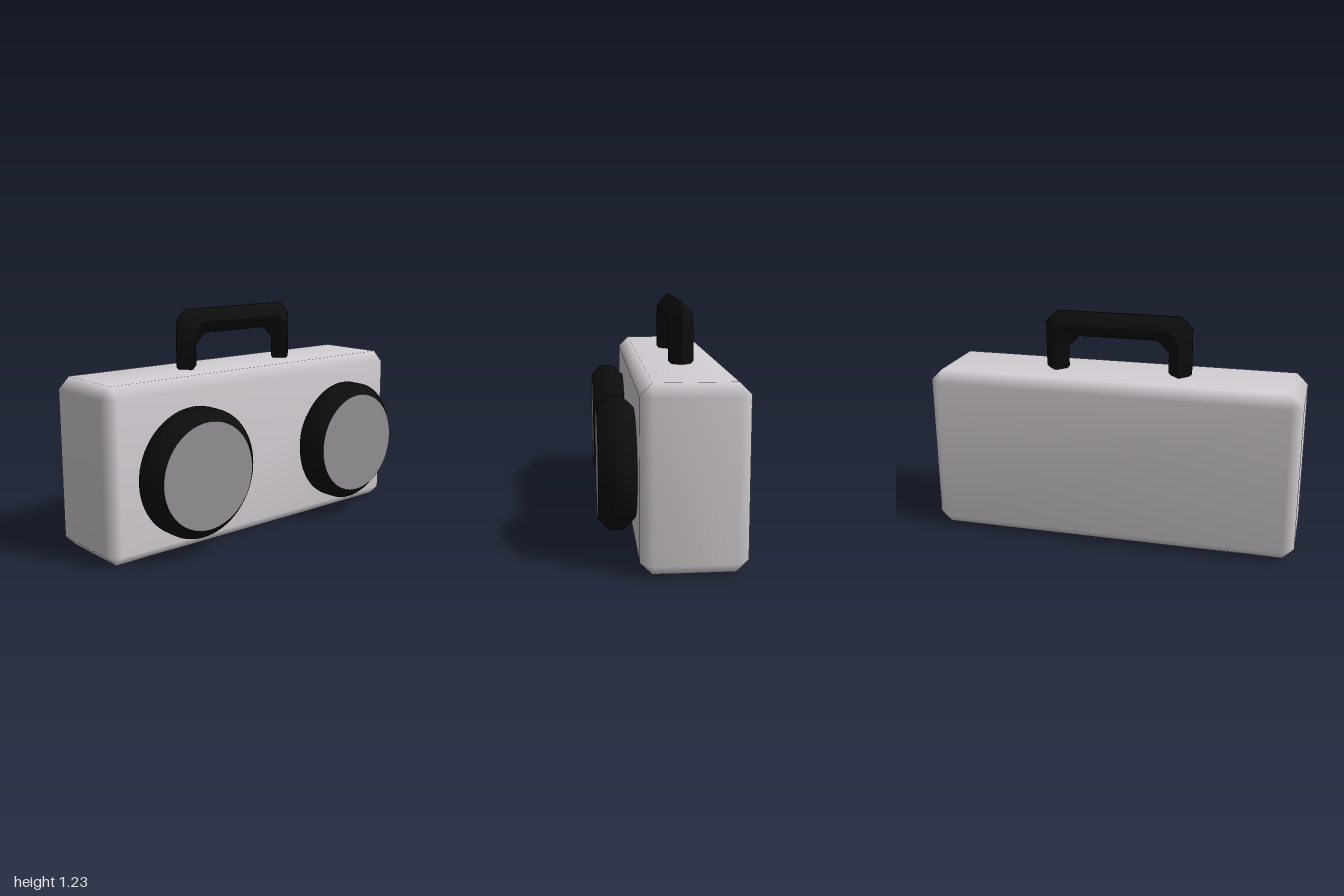
import * as THREE from 'three';
import { ConvexGeometry } from 'three/addons/geometries/ConvexGeometry.js';
import { mergeVertices } from 'three/addons/utils/BufferGeometryUtils.js';

const material = (name, color) => {
  const m = new THREE.MeshStandardMaterial({ color });
  m.name = name;
  return m;
};

// Box with 45 degree chamfers and normals smoothed across them
function chamferBox(w, h, d, c) {
  const half = [w / 2, h / 2, d / 2];
  const points = [];
  for (const sx of [-1, 1]) for (const sy of [-1, 1]) for (const sz of [-1, 1]) {
    for (let axis = 0; axis < 3; axis++) {
      const [x, y, z] = half.map((v, i) => (i === axis ? v : v - c));
      points.push(new THREE.Vector3(x * sx, y * sy, z * sz));
    }
  }
  const hull = new ConvexGeometry(points);
  hull.deleteAttribute('normal');
  const geometry = mergeVertices(hull);
  geometry.computeVertexNormals();
  return geometry;
}

// Octagonal section swept along an arch; each ring is [outer x, outer y, inner x, inner y]
function handleGeometry() {
  const section = [
    [1, -0.005], [1, 0.005], [0.54, 0.065], [0.46, 0.065],
    [0, 0.005], [0, -0.005], [0.46, -0.065], [0.54, -0.065],
  ];
  const leftRings = [
    [-0.342, 0.86, -0.333, 0.86, 0.08],
    [-0.4, 0.92, -0.275, 0.92, 1],
    [-0.4, 1.165, -0.275, 1.03, 1],
    [-0.34, 1.225, -0.215, 1.09, 1],
  ];
  const rightRings = leftRings.map(([ox, oy, ix, iy, s]) => [-ox, oy, -ix, iy, s]).reverse();
  const rings = [...leftRings, ...rightRings];
  const n = section.length;
  const positions = [];
  const index = [];
  rings.forEach(([ox, oy, ix, iy, s], k) => {
    section.forEach(([t, z], i) => {
      positions.push(ix + (ox - ix) * t, iy + (oy - iy) * t, z * s);
      if (k === rings.length - 1) return;
      const a = k * n + i;
      const b = k * n + (i + 1) % n;
      index.push(a, b, b + n, a, b + n, a + n);
    });
  });
  const geometry = new THREE.BufferGeometry();
  geometry.setAttribute('position', new THREE.Float32BufferAttribute(positions, 3));
  geometry.setIndex(index);
  geometry.computeVertexNormals();
  return geometry;
}

export function createModel() {
  const model = new THREE.Group();
  model.name = 'portableStereo';
  const shell = material('pale grey shell', 0xd4cfd4);
  const black = material('black trim', 0x0d0d0d);
  const mesh = material('grey speaker cover', 0x949196);

  const add = (parent, name, geometry, mat, x, y, z) => {
    const part = new THREE.Mesh(geometry, mat);
    part.name = name;
    part.position.set(x, y, z);
    parent.add(part);
  };

  // Casing
  add(model, 'casing', chamferBox(2, 0.907, 0.515, 0.06), shell, 0, 0.4535, -0.0925);

  // Speakers: chamfered black drums with flat grey fronts
  const profile = [[0.277, 0], [0.335, 0.06], [0.335, 0.128], [0.278, 0.187]]
    .map(([r, y]) => new THREE.Vector2(r, y));
  const drum = new THREE.LatheGeometry(profile, 64).rotateX(Math.PI / 2);
  const cover = new THREE.CircleGeometry(0.278, 64);
  for (const [side, x] of [['right', -0.535], ['left', 0.54]]) {
    const speaker = new THREE.Group();
    speaker.name = side + 'Speaker';
    speaker.position.set(x, 0.441, 0.164);
    add(speaker, 'speakerDrum', drum, black, 0, 0, 0);
    add(speaker, 'speakerCover', cover, mesh, 0, 0, 0.187);
    model.add(speaker);
  }

  // Carrying handle, with its feet sunk into the casing
  add(model, 'handle', handleGeometry(), black, -0.002, 0, -0.094);
  return model;
}
